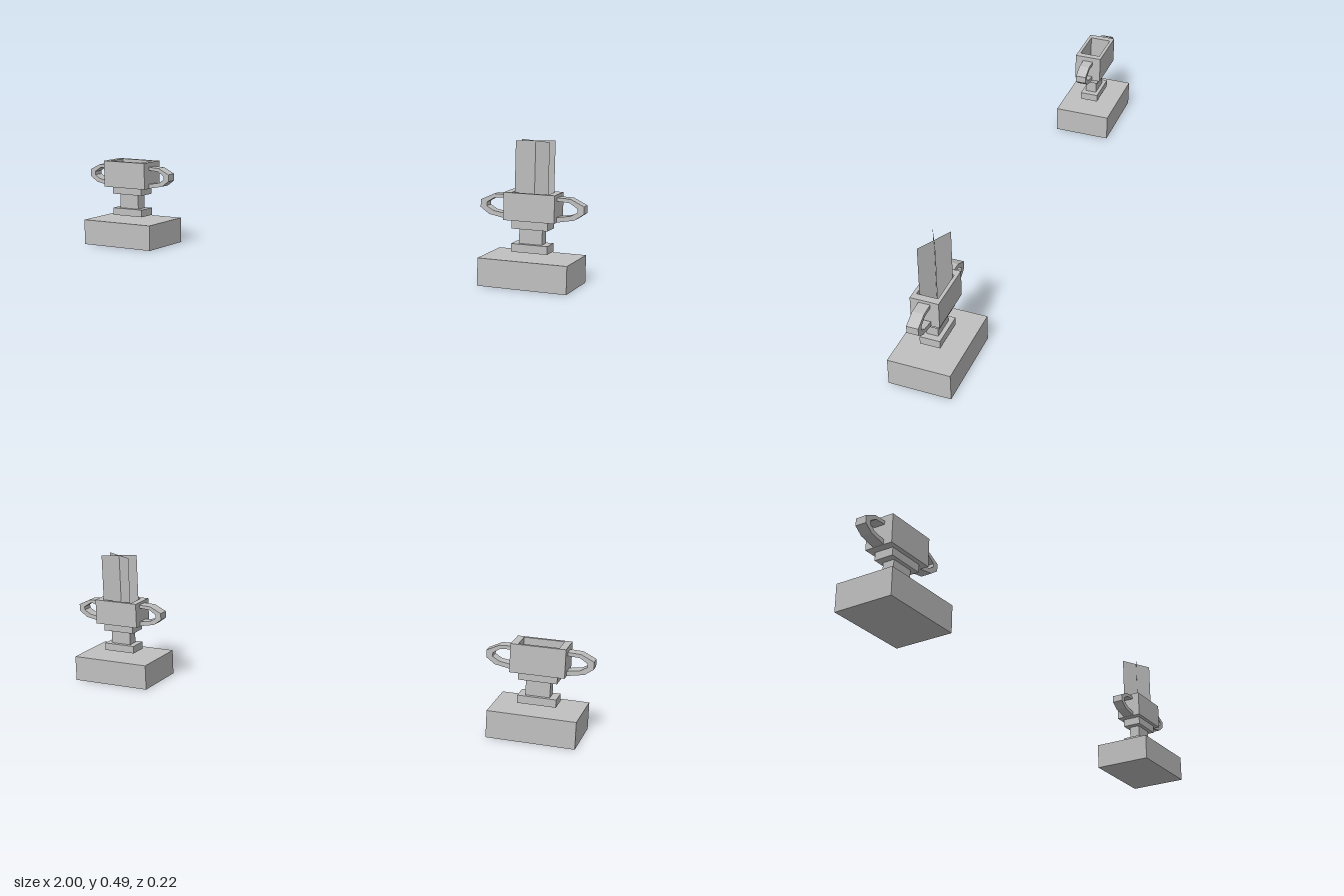
import * as THREE from 'three';

const stone = new THREE.MeshStandardMaterial({ color: 0xc0c0c0 });
stone.name = 'pale grey';
const stoneSheet = new THREE.MeshStandardMaterial({ color: 0xc0c0c0, side: THREE.DoubleSide });
stoneSheet.name = 'pale grey sheet';

function add(group, name, geometry, material = stone) {
  const mesh = new THREE.Mesh(geometry, material);
  mesh.name = name;
  group.add(mesh);
  return mesh;
}

// Box of width w and depth d spanning heights y0 to y1
function block(group, name, w, d, y0, y1, z = 0) {
  add(group, name, new THREE.BoxGeometry(w, y1 - y0, d)).position.set(0, (y0 + y1) / 2, z);
}

function rectangle(Type, w, d) {
  return new Type([[-w, -d], [w, -d], [w, d], [-w, d]].map(([x, y]) => new THREE.Vector2(x / 2, y / 2)));
}

// Angular loop handle; side is 1 or -1
function handle(group, name, side, cupHalf, y, reach) {
  const outline = [
    [-0.004, 0.084], [0.045, 0.082], [reach, 0.06], [reach, 0.034], [0.06, 0.012], [-0.004, 0],
    [-0.004, 0.017], [0.045, 0.025], [reach - 0.022, 0.039], [reach - 0.022, 0.052], [0.042, 0.069], [-0.004, 0.072],
  ];
  const shape = new THREE.Shape(outline.map(([a, b]) => new THREE.Vector2(side * (cupHalf + a), y + b)));
  const g = new THREE.ExtrudeGeometry(shape, { depth: 0.04, bevelEnabled: false });
  g.translate(0, 0, -0.02);
  add(group, name, g);
}

function trophy(name, p) {
  const group = new THREE.Group();
  group.name = name;
  group.position.set(p.x, 0, p.z);

  // Plinth and stepped stem
  block(group, 'plinth', 0.308, 0.216, 0, p.plinth);
  block(group, 'foot', p.collar, 0.07, p.foot, p.stem);
  block(group, 'stem', p.stemWidth, p.stemDepth, p.stem, p.neck);
  block(group, 'collar', p.collar, 0.07, p.neck, p.cup);

  // Hollow cup: rim walls around a floor
  const wall = rectangle(THREE.Shape, p.width, p.depth);
  wall.holes.push(rectangle(THREE.Path, p.width - 0.05, p.depth - 0.024));
  const walls = new THREE.ExtrudeGeometry(wall, { depth: p.top - p.cup, bevelEnabled: false });
  walls.rotateX(-Math.PI / 2);
  walls.translate(0, p.cup, 0);
  add(group, 'cupWalls', walls);
  block(group, 'cupFloor', p.width - 0.05, p.depth - 0.024, p.cup, p.cup + 0.02);

  handle(group, 'leftHandle', 1, p.width / 2, p.cup, p.reach);
  handle(group, 'rightHandle', -1, p.width / 2, p.cup, p.reach);
  return group;
}

export function createModel() {
  const model = new THREE.Group();
  model.name = 'trophyPair';

  const empty = trophy('emptyTrophy', {
    x: -0.815, z: 0.004, plinth: 0.097, foot: 0.113, stem: 0.141, neck: 0.197, cup: 0.225, top: 0.327,
    collar: 0.135, stemWidth: 0.085, stemDepth: 0.043, width: 0.19, depth: 0.103, reach: 0.09,
  });
  const filled = trophy('filledTrophy', {
    x: 0.82, z: -0.004, plinth: 0.095, foot: 0.112, stem: 0.14, neck: 0.191, cup: 0.22, top: 0.314,
    collar: 0.125, stemWidth: 0.08, stemDepth: 0.04, width: 0.176, depth: 0.097, reach: 0.091,
  });

  // Two crossed upright sheets standing in the cup
  for (const side of [1, -1]) {
    const sheet = add(filled, 'crossedSheet', new THREE.PlaneGeometry(0.132, 0.247), stoneSheet);
    sheet.position.set(0.002, 0.3635, -0.003);
    sheet.rotation.y = side * Math.atan2(0.031, 0.0585);
  }

  model.add(empty, filled);
  return model;
}
